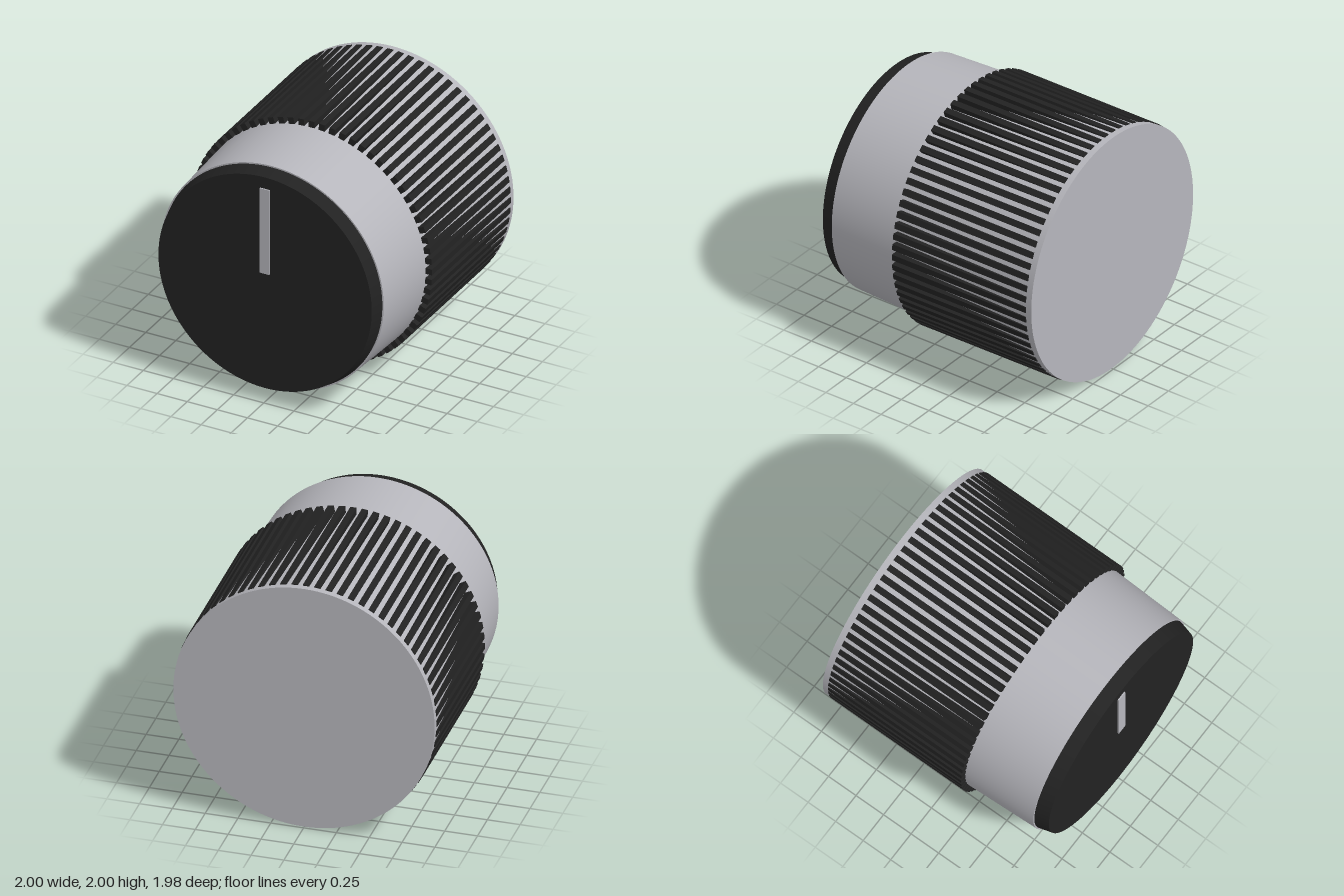
import * as THREE from 'three';

const silver = new THREE.MeshStandardMaterial({ color: 0xb6b6bc });
silver.name = 'silver';
const black = new THREE.MeshStandardMaterial({ color: 0x222222 });
black.name = 'black';

const RIBS = 72;

// Tapered round section running along z
function section(name, rBack, rFront, zBack, zFront, material) {
  const geo = new THREE.CylinderGeometry(rFront, rBack, zFront - zBack, 128);
  geo.rotateX(Math.PI / 2).translate(0, 0, (zBack + zFront) / 2);
  const mesh = new THREE.Mesh(geo, material);
  mesh.name = name;
  return mesh;
}

export function createModel() {
  const knob = new THREE.Group();
  knob.name = 'controlKnob';
  knob.position.y = 1;

  // Metal body and chamfered front cap
  knob.add(section('body', 0.995, 0.925, -0.99, 0.87, silver));
  knob.add(section('frontCap', 0.915, 0.885, 0.865, 0.98, black));

  // Grip ribs around the rear part
  const grip = new THREE.Group();
  grip.name = 'grip';
  const ribGeo = new THREE.BoxGeometry(0.048, 0.06, 1.21).translate(0, 0.97, -0.335);
  for (let i = 0; i < RIBS; i++) {
    const rib = new THREE.Mesh(ribGeo, black);
    rib.name = 'gripRib';
    rib.rotation.z = (i / RIBS) * Math.PI * 2;
    grip.add(rib);
  }
  knob.add(grip);

  // Pointer line on the cap
  const pointer = new THREE.Mesh(new THREE.BoxGeometry(0.08, 0.71, 0.015), silver);
  pointer.name = 'pointer';
  pointer.position.set(0, 0.435, 0.9825);
  knob.add(pointer);

  const model = new THREE.Group();
  model.name = 'knobModel';
  model.add(knob);
  return model;
}
